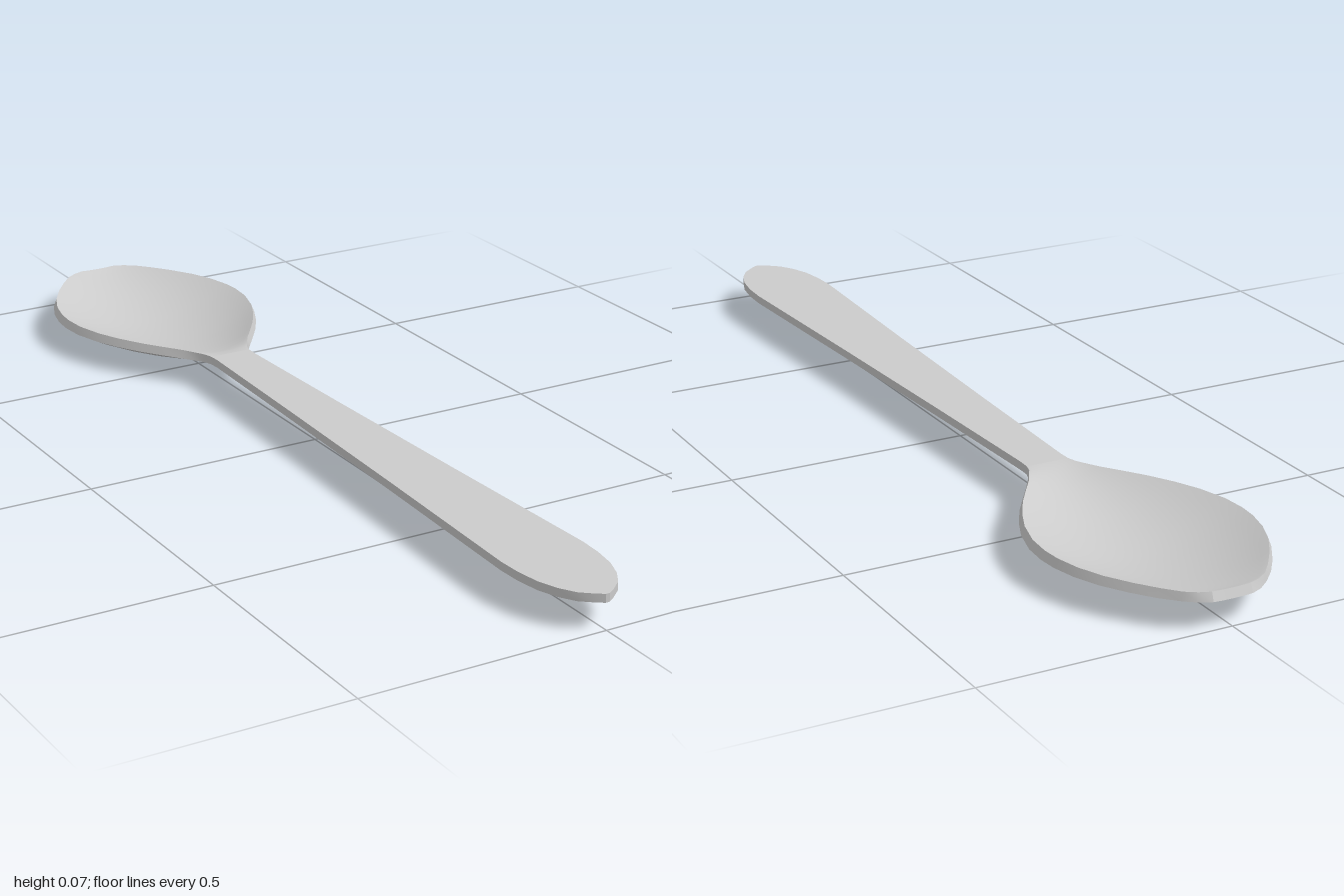
import * as THREE from 'three';
import { mergeGeometries } from 'three/addons/utils/BufferGeometryUtils.js';

const TOP = 0.072, BASE = 0.055, DEPTH = 0.054, COLS = 16;

// Half width of the outline at stations along z
const bowlOutline = [
  [-1, 0.04], [-0.99, 0.063], [-0.97, 0.088], [-0.94, 0.117], [-0.9, 0.147], [-0.85, 0.178],
  [-0.8, 0.199], [-0.75, 0.211], [-0.71, 0.214], [-0.66, 0.21], [-0.6, 0.193],
  [-0.55, 0.17], [-0.5, 0.141], [-0.46, 0.113], [-0.42, 0.084], [-0.395, 0.066],
  [-0.375, 0.052], [-0.355, 0.045],
];
const handleOutline = [
  [-0.355, 0.045], [-0.33, 0.044], [0, 0.055], [0.4, 0.07], [0.8, 0.087], [0.85, 0.085],
  [0.9, 0.077], [0.94, 0.062], [0.97, 0.043], [0.99, 0.019], [1, 0.004],
];

// Depth of the dish along the centre line
function dish(z) {
  const t = (z + 0.685) / 0.32;
  return Math.abs(t) < 1 ? DEPTH * Math.pow(1 - t * t, 1.1) : 0;
}

// Grid surface; it faces (row direction) x (column direction)
function grid(rows) {
  const n = rows[0].length, index = [];
  for (let i = 0; i < rows.length - 1; i++) {
    for (let j = 0; j < n - 1; j++) {
      const a = i * n + j, c = a + n;
      index.push(a, c, a + 1, a + 1, c, c + 1);
    }
  }
  const g = new THREE.BufferGeometry();
  g.setAttribute('position', new THREE.Float32BufferAttribute(rows.flat(2), 3));
  g.setIndex(index);
  g.computeVertexNormals();
  return g;
}

// Plate with upper face, underside, side walls and an optional end cap
function plate(outline, capStart, capEnd) {
  const upper = [], lower = [];
  for (const [z, w] of outline) {
    const d = dish(z);
    const inset = 0.007 * Math.min(1, d / 0.015); // rim leans inward around the bowl
    const top = [], bottom = [];
    for (let j = 0; j <= COLS; j++) {
      const u = (j / COLS) * 2 - 1, sag = d * (1 - u * u);
      top.push([u * (w - inset), TOP - sag, Math.max(z, -0.993)]);
      bottom.push([u * w, BASE - sag, z]);
    }
    upper.push(top);
    lower.push(bottom);
  }
  // keep the stations nearest the tip in order after its rim is set back
  if (capStart) upper[1].forEach((p) => { p[2] = -0.985; });

  const pair = (a, b) => a.map((p, i) => [p, b[i]]);
  const side = (rows, j) => rows.map((r) => r[j]);
  const last = outline.length - 1;
  const parts = [
    grid(upper),
    grid(lower.map((r) => [...r].reverse())),
    grid(pair(side(upper, COLS), side(lower, COLS))),
    grid(pair(side(lower, 0), side(upper, 0))),
  ];
  if (capStart) parts.push(grid(pair(upper[0], lower[0])));
  if (capEnd) parts.push(grid(pair(lower[last], upper[last])));
  return mergeGeometries(parts);
}

export function createModel() {
  const spoon = new THREE.Group();
  spoon.name = 'spoon';
  const metal = new THREE.MeshStandardMaterial({ color: 0xcccccc });

  const bowl = new THREE.Mesh(plate(bowlOutline, true, false), metal);
  bowl.name = 'bowl';
  const handle = new THREE.Mesh(plate(handleOutline, false, true), metal);
  handle.name = 'handle';

  spoon.add(bowl, handle);
  return spoon;
}
